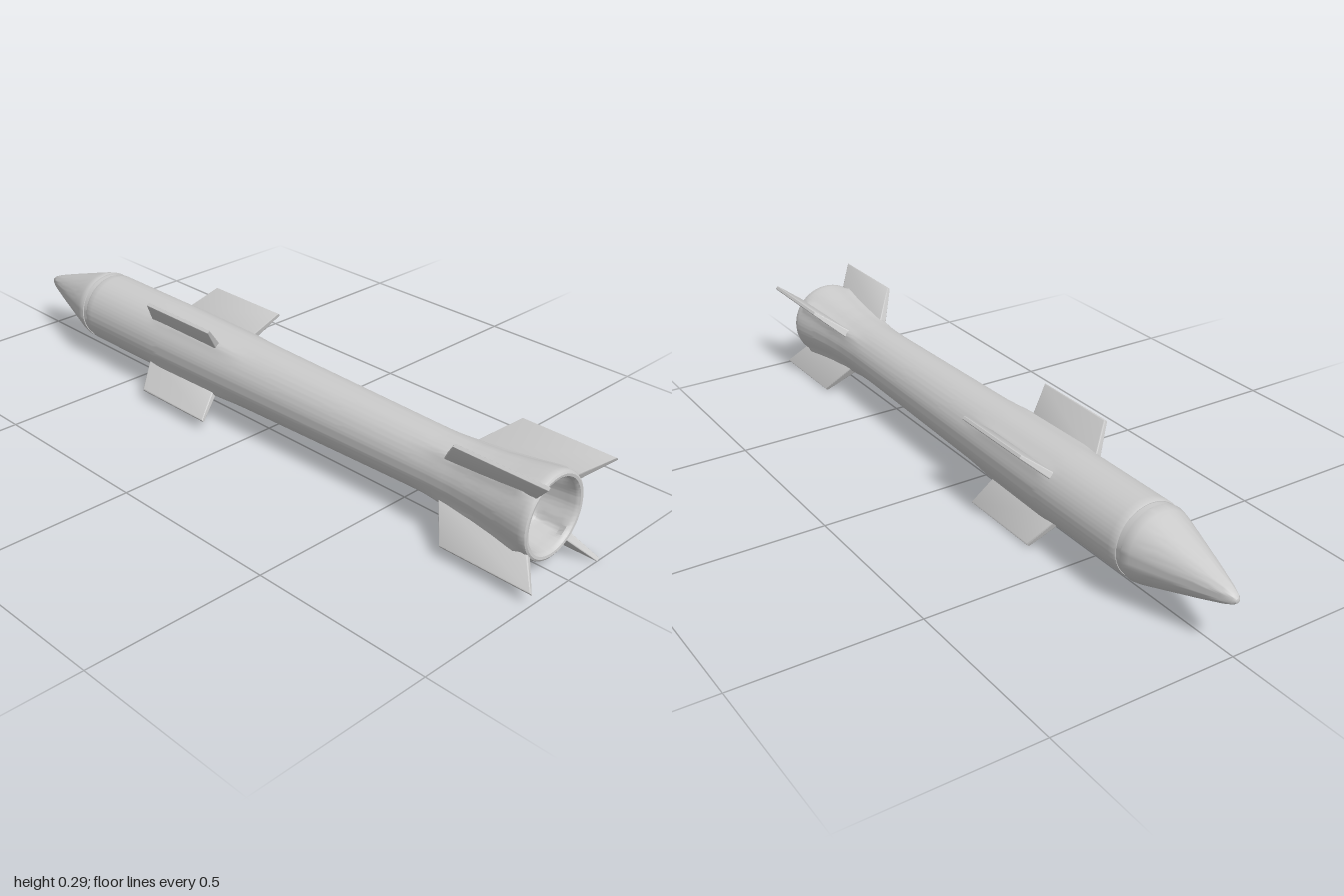
import * as THREE from 'three';
import { toCreasedNormals } from 'three/addons/utils/BufferGeometryUtils.js';

const AXIS_Y = 0.148;
const FIN_ANGLE = THREE.MathUtils.degToRad(39); // first fin, turned from +y towards +z
const QUARTER = Math.PI / 2;

const material = new THREE.MeshStandardMaterial({ color: 0xcccccc });

// Subdivide a profile of [position along x, radius] points into short straight steps
function refine(profile, step) {
  const points = [];
  profile.forEach(([x, r], i) => {
    if (i > 0) {
      const [px, pr] = profile[i - 1];
      const n = Math.max(1, Math.ceil(Math.abs(x - px) / step));
      for (let k = 1; k < n; k++) points.push(new THREE.Vector2(pr + ((r - pr) * k) / n, px + ((x - px) * k) / n));
    }
    points.push(new THREE.Vector2(r, x));
  });
  return points;
}

// Turn a profile around the long axis
function turned(name, profile, step, segments, reshape) {
  const geometry = new THREE.LatheGeometry(refine(profile, step), segments);
  geometry.rotateZ(-QUARTER);
  if (reshape) reshape(geometry.attributes.position);
  const mesh = new THREE.Mesh(toCreasedNormals(geometry, 0.6), material);
  mesh.name = name;
  return mesh;
}

// Height of the soft fairing that runs along the skin around each fin root
function fairing(x) {
  const s = THREE.MathUtils.smoothstep;
  const wing = s(x, -0.42, -0.36) * (1 - s(x, -0.15, 0.0)) * 0.006;
  const tail = s(x, 0.54, 0.76) * 0.011;
  return wing + tail;
}

// Raise the outer skin near the fin roots
function blendFinRoots(position) {
  for (let i = 0; i < position.count; i++) {
    const x = position.getX(i), y = position.getY(i), z = position.getZ(i);
    const r = Math.hypot(y, z);
    if (r < 0.08 || x > 0.92) continue;
    const turn = (Math.atan2(z, y) - FIN_ANGLE + 4 * Math.PI) % QUARTER;
    const off = Math.min(turn, QUARTER - turn) * r;
    const k = 1 + (fairing(x) * Math.exp(-((off / 0.018) ** 2))) / r;
    position.setXYZ(i, x, y * k, z * k);
  }
}

// Fin with a rounded edge, thick at the root and thin at the tip
function finGeometry(outline, rootRadius, tipRadius, rootThickness, tipThickness) {
  const bevel = 0.004;
  const shape = new THREE.Shape(outline.map(([x, r]) => new THREE.Vector2(x, r)));
  const geometry = new THREE.ExtrudeGeometry(shape, {
    depth: 0.6, bevelEnabled: true, bevelThickness: 0.2, bevelSize: bevel, bevelOffset: -bevel, bevelSegments: 4,
  });
  geometry.translate(0, 0, -0.3);
  const p = geometry.attributes.position;
  for (let i = 0; i < p.count; i++) {
    const t = THREE.MathUtils.clamp((p.getY(i) - rootRadius) / (tipRadius - rootRadius), 0, 1);
    p.setZ(i, p.getZ(i) * THREE.MathUtils.lerp(rootThickness, tipThickness, t));
  }
  return toCreasedNormals(geometry, 0.7);
}

// Four equal fins around the axis
function finSet(name, geometry) {
  const set = new THREE.Group();
  set.name = name + 's';
  for (let i = 0; i < 4; i++) {
    const fin = new THREE.Mesh(geometry, material);
    fin.name = name;
    fin.rotation.x = FIN_ANGLE + i * QUARTER;
    set.add(fin);
  }
  return set;
}

export function createModel() {
  const group = new THREE.Group();
  group.name = 'rocket';

  // Nose cone with a blunt tip
  group.add(turned('noseCone', [
    [-1, 0], [-0.998, 0.006], [-0.99, 0.013], [-0.965, 0.024], [-0.9, 0.046],
    [-0.8, 0.078], [-0.74, 0.097], [-0.718, 0.102], [-0.713, 0.101], [-0.712, 0.096],
  ], 0.05, 64));

  // Recessed ring between nose and body
  group.add(turned('neckRing', [[-0.715, 0.09], [-0.713, 0.0985], [-0.694, 0.0985], [-0.692, 0.09]], 0.02, 64));

  // Body with flared tail, rolled rim and hollow nozzle
  group.add(turned('body', [
    [-0.696, 0.094], [-0.696, 0.1], [-0.69, 0.1025], [-0.4, 0.1025], [-0.14, 0.0985], [0.3, 0.09],
    [0.62, 0.084], [0.7, 0.0855], [0.77, 0.091], [0.84, 0.1], [0.89, 0.108], [0.925, 0.113],
    [0.938, 0.1135], [0.944, 0.111], [0.947, 0.106], [0.946, 0.099], [0.942, 0.095], [0.935, 0.0925],
    [0.9, 0.088], [0.84, 0.078], [0.79, 0.067], [0.782, 0.062], [0.78, 0.055], [0.78, 0],
  ], 0.02, 128, blendFinRoots));

  // Mid wings
  group.add(finSet('midWing', finGeometry(
    [[-0.425, 0.08], [-0.145, 0.08], [-0.112, 0.186], [-0.372, 0.186]], 0.095, 0.186, 0.022, 0.011)));

  // Tail fins, swept past the nozzle
  group.add(finSet('tailFin', finGeometry(
    [[0.66, 0.078], [0.8, 0.086], [0.9, 0.1], [0.94, 0.104], [0.95, 0.118], [1, 0.186], [0.735, 0.186]],
    0.095, 0.186, 0.025, 0.011)));

  group.position.y = AXIS_Y;
  const model = new THREE.Group();
  model.name = 'model';
  model.add(group);
  return model;
}
